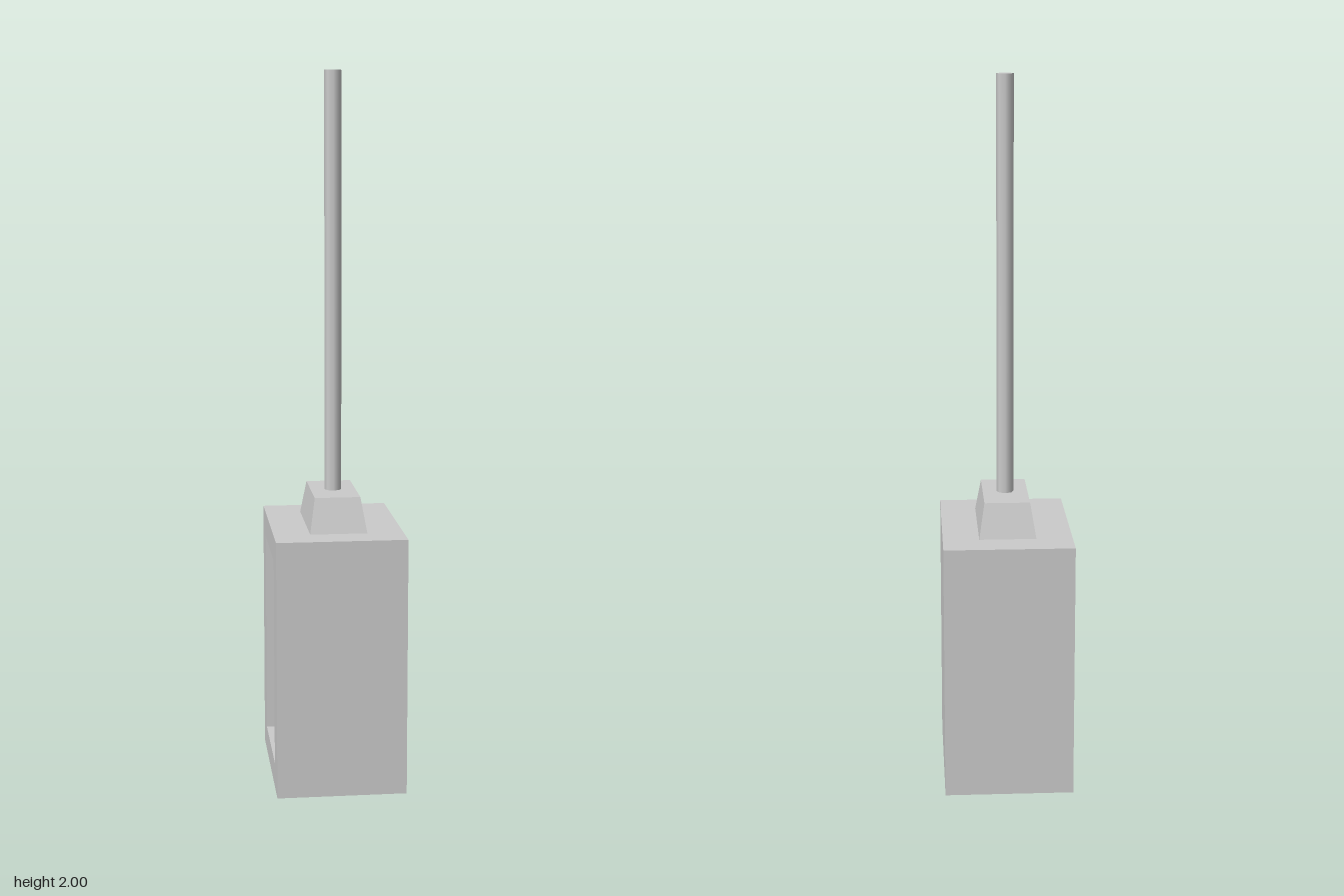
import * as THREE from 'three';

const material = new THREE.MeshStandardMaterial({ color: 0xcccccc });

function addPart(group, name, geometry, x = 0, y = 0, z = 0) {
  const mesh = new THREE.Mesh(geometry, material);
  mesh.name = name;
  mesh.position.set(x, y, z);
  group.add(mesh);
  return mesh;
}

// Box without its -x side; inward turns it into the lining of a recess
function openBox(w, h, d, inward = false) {
  const geometry = new THREE.BoxGeometry(w, h, d);
  const index = Array.from(geometry.index.array);
  index.splice(6, 6);
  geometry.setIndex(inward ? index.reverse() : index);
  geometry.computeVertexNormals();
  return geometry;
}

function rectangle(path, w, h) {
  path.moveTo(-w / 2, -h / 2);
  path.lineTo(w / 2, -h / 2);
  path.lineTo(w / 2, h / 2);
  path.lineTo(-w / 2, h / 2);
  path.closePath();
  return path;
}

export function createModel() {
  const model = new THREE.Group();
  model.name = 'hangingBoxOnRod';

  const width = 0.364, height = 0.73, depth = 0.486;
  const holeHeight = 0.588, holeDepth = 0.308, recess = 0.28;
  const middle = height / 2;

  // Housing: outer walls, framed opening on the -x side, recess lining
  const housing = new THREE.Group();
  housing.name = 'housing';
  model.add(housing);
  addPart(housing, 'outerWalls', openBox(width, height, depth), 0, middle);

  const face = rectangle(new THREE.Shape(), depth, height);
  face.holes.push(rectangle(new THREE.Path(), holeDepth, holeHeight));
  const frame = new THREE.ShapeGeometry(face).rotateY(-Math.PI / 2);
  addPart(housing, 'openingFrame', frame, -width / 2, middle);

  addPart(housing, 'recessLining', openBox(recess, holeHeight, holeDepth, true),
    (recess - width) / 2, middle);

  // Tapered cap: a box whose top corners are drawn inwards
  const capHeight = 0.097;
  const cap = new THREE.BoxGeometry(0.16, capHeight, 0.304);
  const p = cap.attributes.position;
  for (let i = 0; i < p.count; i++) {
    if (p.getY(i) > 0) p.setXYZ(i, p.getX(i) * 0.8, p.getY(i), p.getZ(i) * 0.8);
  }
  cap.computeVertexNormals();
  addPart(model, 'taperedCap', cap, 0, height + capHeight / 2);

  // Eight-sided rod
  const rodBase = height + capHeight;
  const rodLength = 2 - rodBase;
  addPart(model, 'rod', new THREE.CylinderGeometry(0.024, 0.024, rodLength, 8), 0, rodBase + rodLength / 2);

  return model;
}
